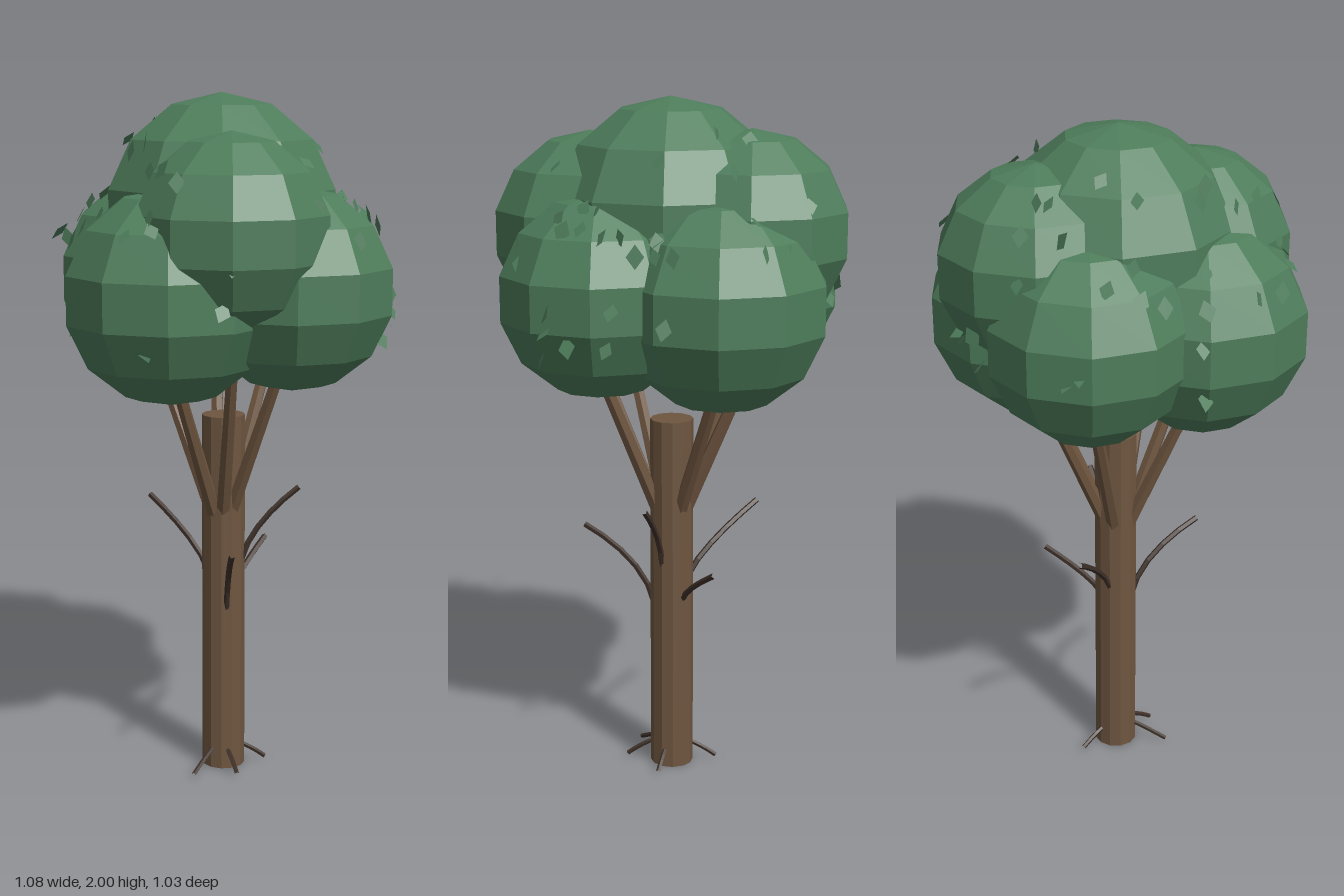
import * as THREE from 'three';

const V = (x, y, z) => new THREE.Vector3(x, y, z);

export function createModel() {
  const tree = new THREE.Group();
  tree.name = 'tree';
  const mat = (name, color) => {
    const m = new THREE.MeshStandardMaterial({ color, flatShading: true });
    m.name = name;
    return m;
  };
  const leafGreen = mat('leaf green', 0x4e7d5b);
  const looseLeafGreen = leafGreen.clone();
  looseLeafGreen.side = THREE.DoubleSide;
  const bark = mat('bark brown', 0x6f5640);
  const twigBark = mat('dark twig brown', 0x40322a);

  const add = (name, geometry, material, parent = tree) => {
    const mesh = new THREE.Mesh(geometry, material);
    mesh.name = name;
    parent.add(mesh);
    return mesh;
  };

  // Tapered straight limb between two points
  const limb = (name, a, b, r0, r1, sides) => {
    const dir = b.clone().sub(a);
    const mesh = add(name, new THREE.CylinderGeometry(r1, r0, dir.length(), sides), bark);
    mesh.position.copy(a).add(b).multiplyScalar(0.5);
    mesh.quaternion.setFromUnitVectors(V(0, 1, 0), dir.normalize());
  };

  // Trunk
  limb('trunk', V(0.007, 0, 0.002), V(0.007, 1.08, 0.002), 0.064, 0.063, 12);

  // Main branches fanning out into the crown
  const branchEnds = [
    [0.26, 1.26, 0.0], [-0.24, 1.26, 0.0], [-0.03, 1.28, 0.24], [0.0, 1.26, -0.25],
    [0.19, 1.28, -0.16], [-0.17, 1.28, 0.16],
  ];
  for (const [x, y, z] of branchEnds) {
    limb('mainBranch', V(x * 0.15, 0.79, z * 0.15), V(x, y, z), 0.022, 0.017, 6);
  }

  // Bare twigs and surface roots: start, bend, end
  const twig = (name, a, b, c, r) => add(name,
    new THREE.TubeGeometry(new THREE.QuadraticBezierCurve3(V(...a), V(...b), V(...c)), 5, r, 5), twigBark);
  twig('twig', [-0.03, 0.5, 0.04], [-0.05, 0.64, 0.06], [-0.2, 0.73, 0.18], 0.009);
  twig('twig', [0.05, 0.52, 0], [0.07, 0.57, 0], [0.23, 0.66, 0], 0.009);
  twig('twig', [0.03, 0.64, 0.05], [0.05, 0.75, 0.07], [0.14, 0.86, 0.18], 0.009);
  twig('twig', [0.01, 0.58, -0.05], [0.02, 0.67, -0.09], [0.03, 0.79, -0.29], 0.009);
  const rootEnds = [[-0.155, 0.01], [0.085, 0.1], [0.08, -0.11], [-0.075, 0.11]];
  for (const [x, z] of rootEnds) {
    const d = Math.hypot(x, z), ux = x / d, uz = z / d;
    twig('root', [ux * 0.05, 0.06, uz * 0.05], [ux * 0.09, 0.045, uz * 0.09], [x, 0.012, z], 0.007);
  }

  // Crown of overlapping faceted clumps: x, y, z, radius
  const clumps = [
    [0.0, 1.66, 0.0, 0.34],
    [-0.242, 1.45, 0.0, 0.303], [0.243, 1.45, -0.012, 0.303],
    [0.01, 1.465, 0.237, 0.29], [0.01, 1.47, -0.237, 0.292],
    [0.185, 1.635, -0.15, 0.282], [-0.175, 1.62, 0.158, 0.282],
  ];
  for (const [x, y, z, r] of clumps) {
    add('foliageClump', new THREE.SphereGeometry(r, 10, 7), leafGreen).position.set(x, y, z);
  }

  // Loose diamond leaves
  let seed = 17;
  const rand = () => (seed = (seed * 16807) % 2147483647) / 2147483647;
  const diamond = new THREE.Shape();
  diamond.moveTo(0, -0.03);
  diamond.lineTo(0.022, 0);
  diamond.lineTo(0, 0.03);
  diamond.lineTo(-0.022, 0);
  const leafGeometry = new THREE.ShapeGeometry(diamond);
  const leaves = new THREE.Group();
  leaves.name = 'looseLeaves';
  tree.add(leaves);
  const addLeaf = (position) => {
    const leaf = add('leaf', leafGeometry, looseLeafGreen, leaves);
    leaf.position.copy(position);
    // Roughly follow the crown, with some tumble
    const turn = Math.atan2(position.x, position.z) + (rand() - 0.5) * 1.4;
    leaf.rotation.set(-0.5 + (rand() - 0.5) * 0.8, turn, (rand() - 0.5) * 1.2, 'YXZ');
    leaf.scale.setScalar(0.85 + rand() * 0.3);
  };

  // Leaves resting on top of the crown: x, z
  const topLeaves = [
    [-0.33, -0.32], [0.4, 0.25], [0.33, 0.32], [0.36, 0.28], [-0.48, 0.03], [-0.37, 0.07],
    [-0.33, 0], [-0.26, -0.07], [-0.26, -0.12], [-0.44, -0.2], [-0.49, -0.14], [-0.12, -0.24],
    [-0.02, -0.23], [0.05, -0.35], [0.1, -0.3], [0.13, -0.31], [0.15, -0.38], [-0.13, -0.32],
    [-0.17, -0.38], [0.23, 0], [0.27, -0.08], [0.33, 0.01], [0.42, 0], [0.49, 0.02],
    [0.45, -0.15], [0.22, 0.3], [0.28, 0.22], [0.2, 0.35], [0.15, 0.38], [0.1, 0.34],
    [0.07, 0.4], [-0.07, 0.33], [0.13, 0.32], [-0.41, 0.15], [-0.3, -0.2], [0.22, 0.18],
  ];
  for (const [x, z] of topLeaves) {
    let y = 1.62;
    for (const [cx, cy, cz, r] of clumps) {
      const h = r * r - (x - cx) ** 2 - (z - cz) ** 2;
      if (h > 0) y = Math.max(y, cy + Math.sqrt(h));
    }
    addLeaf(V(x, y, z));
  }

  // Leaves scattered over the sides
  const centre = V(0, 1.45, 0);
  for (let i = 0; i < 40; i++) {
    const az = rand() * Math.PI * 2;
    const el = -0.25 + rand() * 0.8;
    const dir = V(Math.cos(el) * Math.cos(az), Math.sin(el), Math.cos(el) * Math.sin(az));
    let reach = 0;
    for (const [x, y, z, r] of clumps) {
      const offset = V(x, y, z).sub(centre);
      const along = offset.dot(dir), disc = along * along - offset.lengthSq() + r * r;
      if (disc > 0) reach = Math.max(reach, along + Math.sqrt(disc));
    }
    addLeaf(centre.clone().addScaledVector(dir, Math.min(reach, 0.5)));
  }
  return tree;
}
